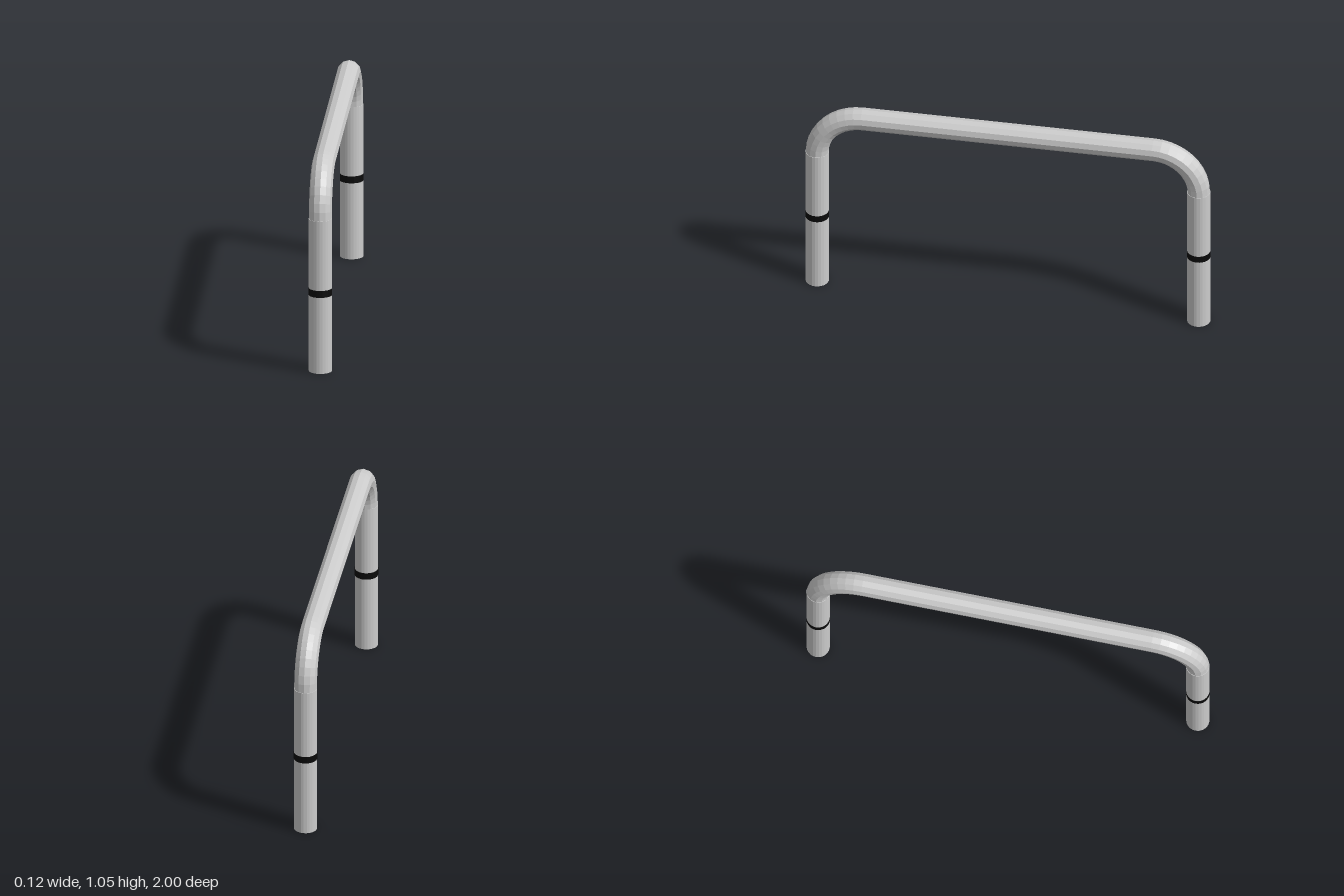
import * as THREE from 'three';

const LEG_Z = 0.943;    // leg axis distance from the centre
const LEG_R = 0.057;
const TUBE_R = 0.056;
const BEND_R = 0.223;   // centreline radius of the corner bends
const BEND_Y = 0.775;   // height where the legs meet the bends

export function createModel() {
  const group = new THREE.Group();
  const steel = new THREE.MeshStandardMaterial({ color: 0xcccccc, flatShading: true });
  const black = new THREE.MeshStandardMaterial({ color: 0x0a0a0a, flatShading: true });

  const add = (name, geometry, material, y, z) => {
    const mesh = new THREE.Mesh(geometry, material);
    mesh.name = name;
    mesh.position.set(0, y, z);
    group.add(mesh);
    return mesh;
  };

  const bendZ = LEG_Z - BEND_R;
  for (const [side, s] of [['front', 1], ['back', -1]]) {
    // Upright post
    add(side + 'Leg', new THREE.CylinderGeometry(LEG_R, LEG_R, BEND_Y, 24), steel, BEND_Y / 2, s * LEG_Z);
    // Dark ring around the post
    add(side + 'Band', new THREE.CylinderGeometry(LEG_R + 0.001, LEG_R + 0.001, 0.035, 24), black, 0.405, s * LEG_Z);
    // Quarter-circle corner
    const bend = new THREE.TorusGeometry(BEND_R, TUBE_R, 12, 10, Math.PI / 2);
    bend.rotateY(-s * Math.PI / 2);
    add(side + 'Bend', bend, steel, BEND_Y, s * bendZ);
  }

  // Straight top rail between the bends
  const rail = new THREE.CylinderGeometry(TUBE_R, TUBE_R, 2 * bendZ, 12, 1, true);
  rail.rotateX(Math.PI / 2);
  add('topRail', rail, steel, BEND_Y + BEND_R, 0);

  return group;
}
